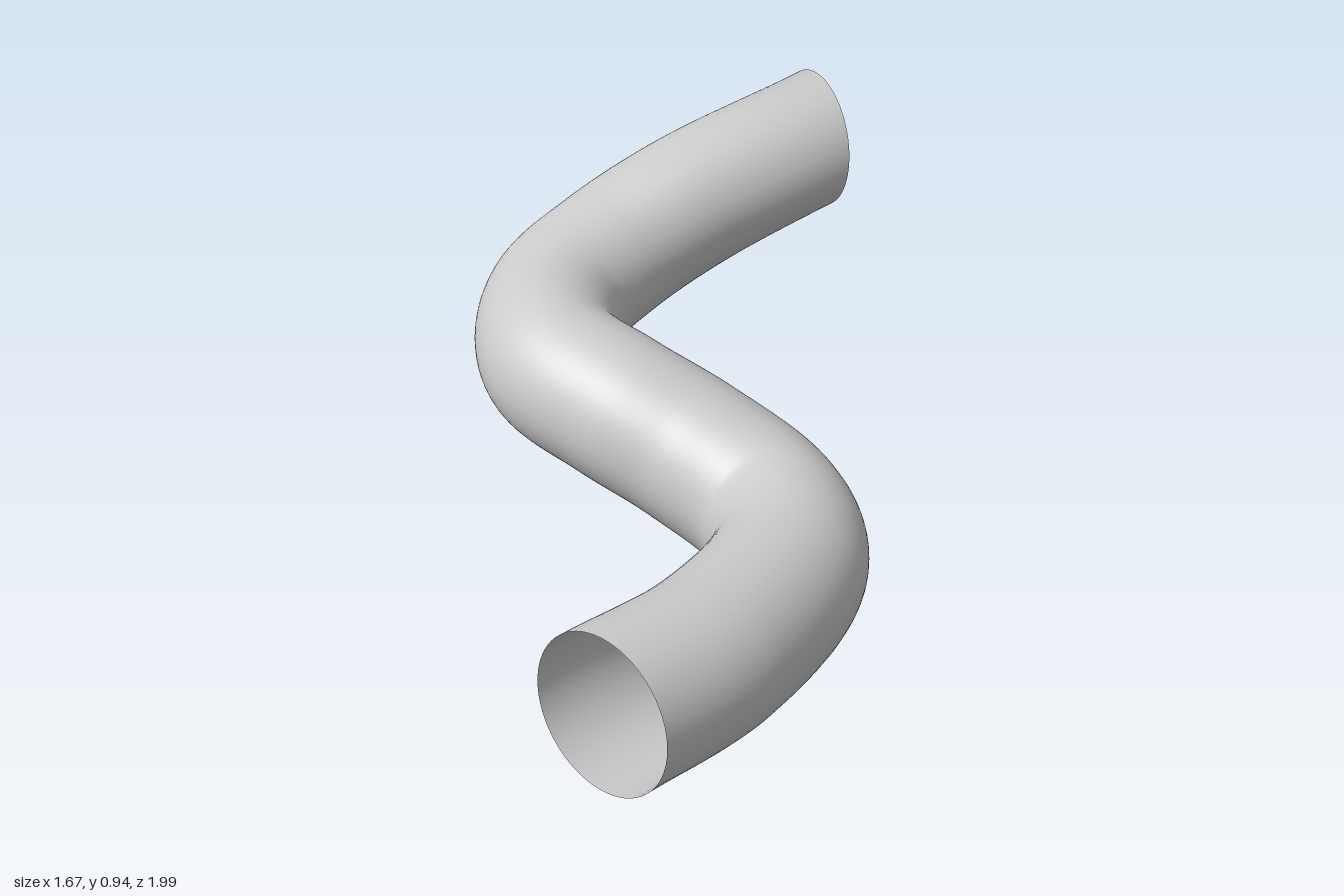
import * as THREE from 'three';

export function createModel() {
  const group = new THREE.Group();
  group.name = 'bentPipe';

  // Centre line: a rising S-bend
  const path = new THREE.CatmullRomCurve3([
    [-0.78, 0.225, 0.80],
    [-0.42, 0.21, 0.69],
    [-0.06, 0.203, 0.45],
    [0.025, 0.22, 0.22],
    [-0.06, 0.30, -0.02],
    [-0.17, 0.375, -0.21],
    [-0.235, 0.425, -0.43],
    [-0.10, 0.465, -0.68],
    [0.12, 0.525, -0.777],
    [0.40, 0.62, -0.80],
    [0.815, 0.745, -0.77],
  ].map((p) => new THREE.Vector3(...p)));

  // Turn the last rings upright so the high end is cut vertically
  const tangentAt = path.getTangentAt.bind(path);
  path.getTangentAt = (u, target) => {
    const t = tangentAt(u, target);
    t.y *= 1 - THREE.MathUtils.smoothstep(u, 0.78, 1);
    return t.normalize();
  };

  // Open, thin-walled tube
  const pipe = new THREE.Mesh(
    new THREE.TubeGeometry(path, 160, 0.2, 64, false),
    new THREE.MeshStandardMaterial({ color: 0xcccccc, side: THREE.DoubleSide })
  );
  pipe.name = 'pipe';
  group.add(pipe);
  return group;
}
